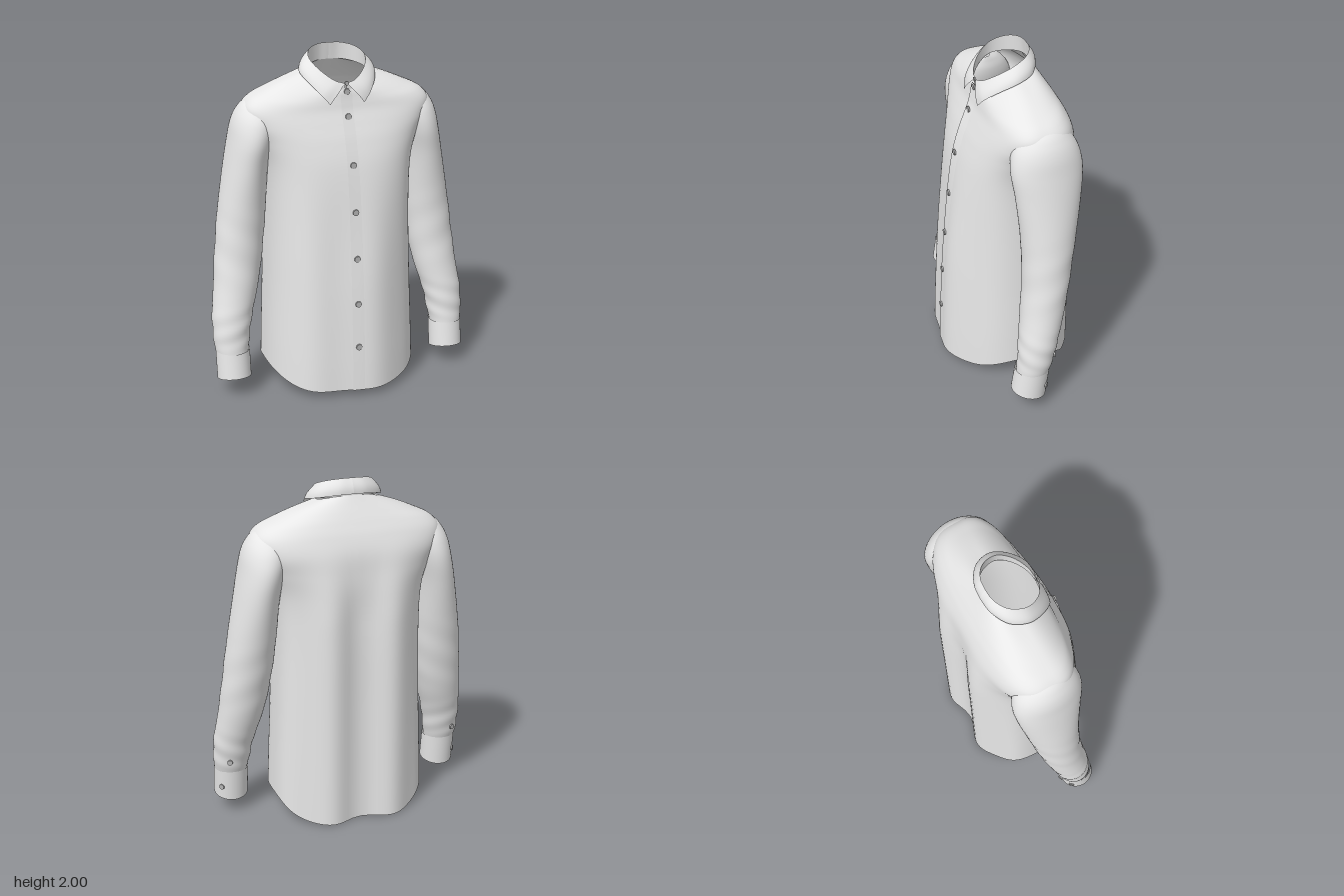
import * as THREE from 'three';

const fabric = new THREE.MeshStandardMaterial({ color: 0xececec, side: THREE.DoubleSide });
fabric.name = 'off-white fabric';
const buttonGrey = new THREE.MeshStandardMaterial({ color: 0xb4b4b4 });
buttonGrey.name = 'button grey';

const smooth = THREE.MathUtils.smoothstep;

// Smooth interpolation through rows of section parameters, t in 0..1
function sample(rows, t) {
  const n = rows.length - 1, f = Math.min(t, 1) * n, i = Math.min(Math.floor(f), n - 1), s = f - i;
  const row = k => rows[Math.max(0, Math.min(n, k))];
  return rows[0].map((_, c) => {
    const p0 = row(i - 1)[c], p1 = row(i)[c], p2 = row(i + 1)[c], p3 = row(i + 2)[c];
    return p1 + 0.5 * s * (p2 - p0 + s * (2 * p0 - 5 * p1 + 4 * p2 - p3 + s * (3 * (p1 - p2) + p3 - p0)));
  });
}

// Grid surface from fn(u, v); closed joins the ends in u
function surface(name, nu, nv, fn, closed) {
  const cols = closed ? nu : nu + 1, pos = [], idx = [];
  for (let j = 0; j <= nv; j++)
    for (let i = 0; i < cols; i++) pos.push(...fn(i / nu, j / nv));
  for (let j = 0; j < nv; j++)
    for (let i = 0; i < nu; i++) {
      const a = j * cols + i, b = j * cols + (i + 1) % cols;
      idx.push(a, b, a + cols, b, b + cols, a + cols);
    }
  const g = new THREE.BufferGeometry();
  g.setAttribute('position', new THREE.Float32BufferAttribute(pos, 3));
  g.setIndex(idx);
  g.computeVertexNormals();
  const mesh = new THREE.Mesh(g, fabric);
  mesh.name = name;
  return mesh;
}

// Torso sections: side y, front y, back y, half width, front z, back z, front and back roundness
const torsoRows = [
  [0.13, 0.04, 0.0, 0.457, 0.378, -0.36, 0.85, 0.7],
  [0.32, 0.27, 0.25, 0.45, 0.368, -0.36, 0.85, 0.7],
  [0.70, 0.70, 0.70, 0.435, 0.342, -0.36, 0.85, 0.7],
  [1.10, 1.10, 1.10, 0.425, 0.30, -0.36, 0.8, 0.7],
  [1.35, 1.35, 1.35, 0.435, 0.262, -0.352, 0.75, 0.68],
  [1.50, 1.50, 1.50, 0.475, 0.222, -0.338, 0.7, 0.62],
  [1.60, 1.60, 1.61, 0.525, 0.185, -0.322, 0.66, 0.6],
  [1.68, 1.67, 1.70, 0.55, 0.158, -0.292, 0.68, 0.66],
  [1.74, 1.715, 1.765, 0.51, 0.147, -0.26, 0.74, 0.74],
  [1.785, 1.745, 1.815, 0.42, 0.141, -0.232, 0.82, 0.84],
  [1.83, 1.77, 1.86, 0.31, 0.137, -0.205, 0.92, 0.93],
  [1.875, 1.79, 1.905, 0.172, 0.132, -0.178, 1, 1],
];

function torsoPoint(a, t) {
  const [yS, yF, yB, w, zF, zB, eF, eB] = sample(torsoRows, t);
  const s = Math.sin(a), c = Math.cos(a), front = c > 0, zc = -0.055;
  const x = w * Math.sign(s) * Math.pow(Math.abs(s), front ? eF : eB);
  // Squarer dip for the hem, rounder one for the neckline
  const k = 1 - Math.pow(s * s, t < 0.35 ? 2 : 1.35);
  const y = yS + ((front ? yF : yB) - yS) * k;
  let z = zc + ((front ? zF : zB) - zc) * Math.pow(Math.abs(c), front ? eF : eB);
  // Soft hanging folds, fading towards the shoulders
  const fade = c * c * (front ? smooth(1.5 - y, 0, 0.8) : smooth(1.7 - y, 0, 0.5));
  z += fade * (front ? 0.016 * Math.sin(14 * x) : 0.03 * Math.cos(x * Math.PI / 0.2));
  return [x, y, z];
}

// Front strip at a given x, lifted slightly off the body
function frontPoint(x, t, lift) {
  const r = sample(torsoRows, t);
  const s = Math.sign(x) * Math.pow(Math.abs(x) / r[3], 1 / r[6]);
  const p = torsoPoint(Math.asin(s), t);
  return [p[0], p[1], p[2] + lift];
}

// Sleeve sections: y, centre x, radius x, centre z, radius z
const sleeveRows = [
  [0.26, 0.68, 0.094, 0.06, 0.094],
  [0.33, 0.678, 0.105, 0.045, 0.102],
  [0.47, 0.665, 0.118, 0.022, 0.113],
  [0.65, 0.628, 0.132, -0.015, 0.126],
  [0.85, 0.598, 0.140, -0.045, 0.136],
  [1.10, 0.567, 0.138, -0.067, 0.157],
  [1.35, 0.535, 0.125, -0.077, 0.188],
  [1.50, 0.505, 0.126, -0.076, 0.204],
  [1.60, 0.48, 0.130, -0.074, 0.19],
  [1.67, 0.46, 0.119, -0.072, 0.155],
  [1.72, 0.44, 0.092, -0.07, 0.105],
  [1.748, 0.40, 0.045, -0.07, 0.04],
];

function sleevePoint(side, u, t) {
  const [y, cx, rx, cz, rz] = sample(sleeveRows, t), a = side * u * Math.PI * 2;
  // Gathers above the cuff and light creases at the elbow
  const wrist = smooth(y, 0.27, 0.36) * (1 - smooth(y, 0.42, 0.6));
  const elbow = smooth(y, 0.6, 0.8) * (1 - smooth(y, 0.95, 1.2));
  const r = 1 + 0.025 * wrist * Math.sin(y * 50 + 2 * a) + 0.012 * elbow * Math.sin(y * 30 - 2 * a);
  return [side * (cx + rx * r * Math.sin(a)), y, cz + rz * r * Math.cos(a)];
}

// Cuff: straight tube with a tilted lower edge
function cuffPoint(side, u, t) {
  const a = side * u * Math.PI * 2, c = Math.cos(a);
  const y = THREE.MathUtils.lerp(0.105 + 0.022 * c, 0.275, t);
  return [side * (0.677 + 0.1 * Math.sin(a)), y, THREE.MathUtils.lerp(0.083, 0.06, t) + 0.101 * c];
}

// Half outlines of the collar, from front centre to back centre
const curve = pts => new THREE.CatmullRomCurve3(pts.map(p => new THREE.Vector3(...p)));
const collarTop = curve([[0.006, 1.825, 0.13], [0.06, 1.842, 0.12], [0.13, 1.895, 0.065], [0.165, 1.948, -0.02],
  [0.135, 1.982, -0.11], [0.065, 1.998, -0.156], [0, 2.0, -0.163]]);
const collarEdge = curve([[0.1, 1.715, 0.16], [0.145, 1.768, 0.138], [0.2, 1.832, 0.06], [0.222, 1.872, -0.03],
  [0.185, 1.893, -0.125], [0.09, 1.912, -0.185], [0, 1.916, -0.197]]);
const standEdge = curve([[0.002, 1.78, 0.132], [0.06, 1.79, 0.121], [0.132, 1.83, 0.065], [0.17, 1.87, -0.02],
  [0.138, 1.888, -0.115], [0.065, 1.9, -0.167], [0, 1.902, -0.176]]);

function collarPoint(side, lower, bulge, u, v) {
  const k = side > 0 ? u : 1 - u, out = 1 + bulge * Math.sin(Math.PI * v);
  const p = lower.getPoint(k).lerp(collarTop.getPoint(k), v);
  return [side * p.x * out, p.y, (p.z + 0.02) * out - 0.02];
}

function button(x, y, z, nx, nz, radius) {
  const g = new THREE.CylinderGeometry(radius, radius, 0.009, 16);
  g.rotateX(Math.PI / 2);
  const mesh = new THREE.Mesh(g, buttonGrey);
  mesh.position.set(x, y, z);
  mesh.rotation.y = Math.atan2(nx, nz);
  mesh.name = 'button';
  return mesh;
}

export function createModel() {
  const shirt = new THREE.Group();
  shirt.name = 'shirt';
  shirt.add(surface('body', 128, 96, (u, v) => torsoPoint(u * Math.PI * 2, v), true));
  shirt.add(surface('frontPlacket', 6, 80, (u, v) => frontPoint(-0.035 + 0.07 * u, v, 0.007 * (1 - u)), false));

  for (const side of [-1, 1]) {
    // Collar stand and folded leaf, open at the front
    shirt.add(surface('collarStand', 36, 4, (u, v) => collarPoint(side, standEdge, 0, u, v), false));
    shirt.add(surface('collarLeaf', 36, 8, (u, v) => collarPoint(side, collarEdge, 0.06, u, v), false));

    // Sleeve, cuff and cuff buttons
    const arm = new THREE.Group();
    arm.name = side > 0 ? 'leftArm' : 'rightArm';
    arm.add(surface('sleeve', 48, 90, (u, v) => sleevePoint(side, u, v), true));
    arm.add(surface('cuff', 48, 6, (u, v) => cuffPoint(side, u, v), true));
    arm.add(button(side * 0.753, 0.17, 0.002, side * 0.75, -0.66, 0.016));
    arm.add(button(side * 0.715, 0.35, -0.062, side * 0.35, -0.94, 0.016));
    shirt.add(arm);
  }

  // Front buttons, placed on the body surface by height
  for (const y of [1.645, 1.385, 1.12, 0.85, 0.58, 0.315]) {
    let lo = 0, hi = 1;
    for (let i = 0; i < 24; i++) {
      const mid = (lo + hi) / 2;
      if (torsoPoint(0, mid)[1] < y) lo = mid; else hi = mid;
    }
    shirt.add(button(0, y, torsoPoint(0, lo)[2] + 0.009, 0, 1, 0.018));
  }
  shirt.add(button(0.003, 1.78, 0.144, 0, 1, 0.017));
  shirt.add(button(0.003, 1.826, 0.137, 0, 1, 0.012));
  return shirt;
}
